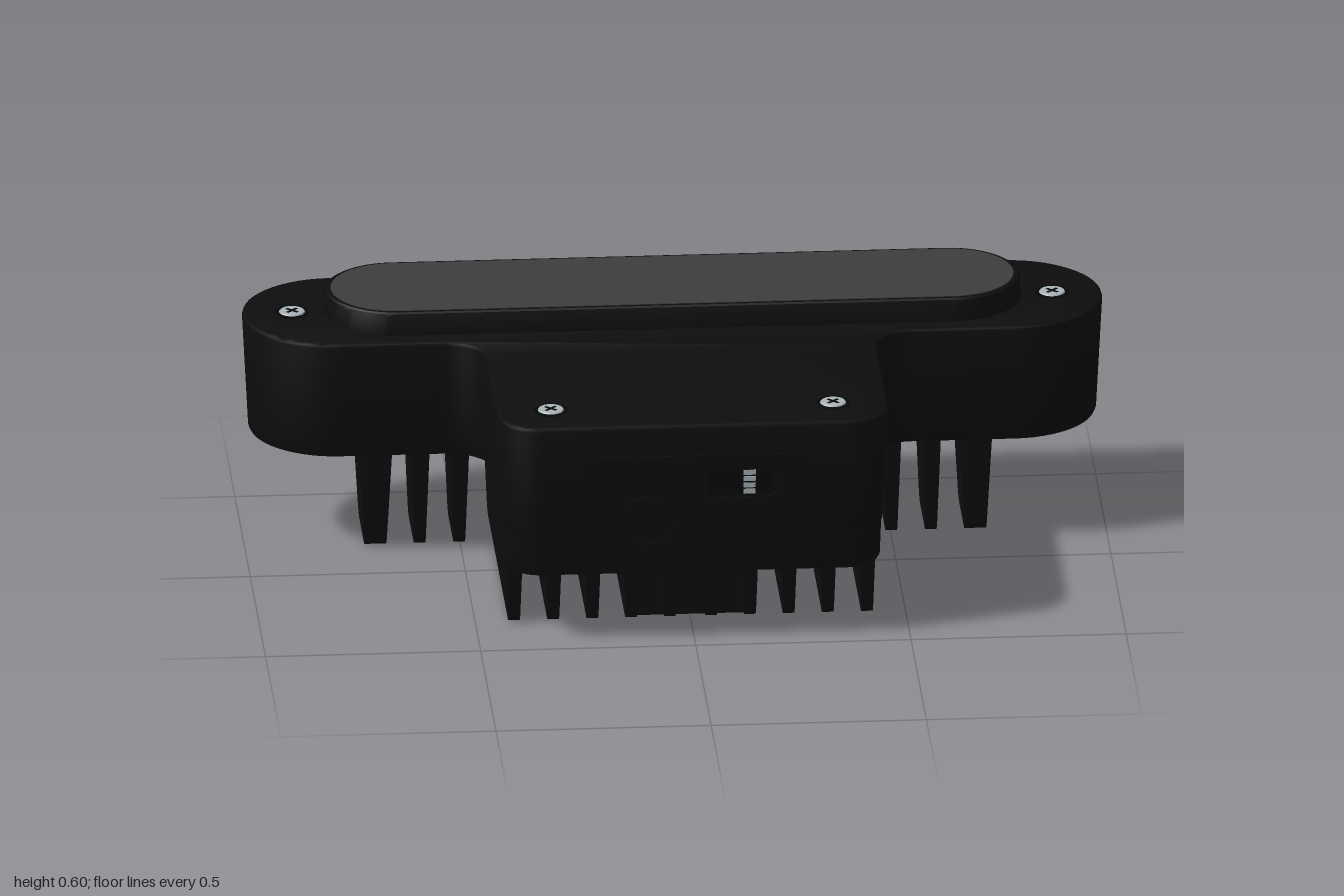
import * as THREE from 'three';
import { toCreasedNormals } from 'three/addons/utils/BufferGeometryUtils.js';

const PI = Math.PI;
const mat = (color) => new THREE.MeshStandardMaterial({ color });
const black = mat(0x0d0d0d), dark = mat(0x080808), glass = mat(0x3d3d3d), steel = mat(0xaab4b8);

function add(parent, name, geometry, material, x = 0, y = 0, z = 0) {
  const mesh = new THREE.Mesh(geometry, material);
  mesh.name = name;
  mesh.position.set(x, y, z);
  parent.add(mesh);
  return mesh;
}

// Stacks plan outlines (x, -z) at [height, inset] levels and caps both ends
function loft(outline, levels) {
  const rings = levels.map(([, inset]) => outline(inset).getPoints(14));
  const n = rings[0].length, pos = [], index = [];
  rings.forEach((ring, k) => ring.forEach((p) => pos.push(p.x, levels[k][0], -p.y)));
  for (let k = 0; k < rings.length - 1; k++) {
    for (let i = 0; i < n; i++) {
      const a = k * n + i, b = k * n + (i + 1) % n;
      index.push(a, b, b + n, a, b + n, a + n);
    }
  }
  const top = (rings.length - 1) * n;
  for (const [a, b, c] of THREE.ShapeUtils.triangulateShape(rings[0], [])) index.push(a, c, b);
  for (const [a, b, c] of THREE.ShapeUtils.triangulateShape(rings[rings.length - 1], [])) {
    index.push(top + a, top + b, top + c);
  }
  const g = new THREE.BufferGeometry();
  g.setAttribute('position', new THREE.Float32BufferAttribute(pos, 3));
  g.setIndex(index);
  return toCreasedNormals(g, 0.5);
}

// T-shaped plan: long rounded bar with a stem toward the front
function tOutline(d) {
  const s = new THREE.Shape();
  s.absarc(0.355, -0.392, 0.1 - d, -PI / 2, 0, false);
  s.absarc(0.545, -0.025, 0.09 + d, PI, PI / 2, true);
  s.absarc(0.785, 0.28, 0.215 - d, -PI / 2, PI / 2, false);
  s.absarc(-0.785, 0.28, 0.215 - d, PI / 2, PI * 1.5, false);
  s.absarc(-0.545, -0.025, 0.09 + d, PI / 2, 0, true);
  s.absarc(-0.355, -0.392, 0.1 - d, PI, PI * 1.5, false);
  return s;
}

function stemOutline(d) {
  const s = new THREE.Shape();
  s.absarc(0.355, -0.392, 0.1 - d, -PI / 2, 0, false);
  s.absarc(0.415, -0.165, 0.04 - d, 0, PI / 2, false);
  s.absarc(-0.415, -0.165, 0.04 - d, PI / 2, PI, false);
  s.absarc(-0.355, -0.392, 0.1 - d, PI, PI * 1.5, false);
  return s;
}

const stadium = (cx, r) => (d) => {
  const s = new THREE.Shape();
  s.absarc(cx, 0.28, r - d, -PI / 2, PI / 2, false);
  s.absarc(-cx, 0.28, r - d, PI / 2, PI * 1.5, false);
  return s;
};

function roundRect(target, x, y, w, h, r) {
  target.absarc(x + w / 2 - r, y - h / 2 + r, r, -PI / 2, 0, false);
  target.absarc(x + w / 2 - r, y + h / 2 - r, r, 0, PI / 2, false);
  target.absarc(x - w / 2 + r, y + h / 2 - r, r, PI / 2, PI, false);
  target.absarc(x - w / 2 + r, y - h / 2 + r, r, PI, PI * 1.5, false);
  target.closePath();
  return target;
}

// Cooling fin: side profile in (z, y), thinner toward its rounded tip
function finGeometry(frontTop, frontBottom, backBottom, backTop, thickTop, thickTip) {
  const s = new THREE.Shape(), r = 0.03;
  s.moveTo(backTop, 0.27);
  s.lineTo(backBottom - 0.005, r);
  s.quadraticCurveTo(backBottom, 0, backBottom + r, 0);
  s.lineTo(frontBottom - r, 0);
  s.quadraticCurveTo(frontBottom, 0, frontBottom + 0.001, r);
  s.lineTo(frontTop, 0.27);
  const g = new THREE.ExtrudeGeometry(s, { depth: 1, bevelEnabled: false, curveSegments: 6 });
  g.translate(0, 0, -0.5).rotateY(-PI / 2);
  const p = g.attributes.position;
  for (let i = 0; i < p.count; i++) {
    const t = Math.min(1, p.getY(i) / 0.27);
    p.setX(i, p.getX(i) * (thickTip + (thickTop - thickTip) * t));
  }
  return toCreasedNormals(g, 0.5);
}

function screw(parent, name, x, y, z, flip) {
  const g = new THREE.Group();
  g.name = name;
  add(g, 'screwRecess', new THREE.CylinderGeometry(0.041, 0.041, 0.004, 28), dark, 0, -0.001, 0);
  add(g, 'screwHead', new THREE.CylinderGeometry(0.028, 0.034, 0.008, 28), steel);
  for (const a of [PI / 4, -PI / 4]) {
    add(g, 'screwSlot', new THREE.BoxGeometry(0.034, 0.002, 0.007), dark, 0, 0.0038, 0).rotation.y = a;
  }
  g.position.set(x, y, z);
  if (flip) g.rotation.x = PI;
  parent.add(g);
  return g;
}

export function createModel() {
  const model = new THREE.Group();
  model.name = 'sensorHousing';

  // Housing with slight draft and softened edges
  add(model, 'housing', loft(tOutline,
    [[0.257, 0.028], [0.261, 0.019], [0.27, 0.015], [0.536, 0.001], [0.542, 0.003], [0.545, 0.009]]), black);
  add(model, 'stemBase', loft(stemOutline,
    [[0.168, 0.034], [0.172, 0.025], [0.182, 0.02], [0.29, 0.016]]), black);

  // Raised window rim and its pane
  add(model, 'windowRim', loft(stadium(0.645, 0.165),
    [[0.54, 0], [0.592, 0.002], [0.597, 0.004], [0.6, 0.009]]), black);
  add(model, 'windowPane', loft(stadium(0.645, 0.148), [[0.59, 0], [0.6015, 0]]), glass);

  // Front panel with a round cover and a connector slot, leaning with the draft
  const panel = new THREE.Group();
  panel.name = 'frontPanel';
  panel.position.set(0, 0.325, 0.481);
  panel.rotation.x = 0.052;
  const plate = roundRect(new THREE.Shape(), 0, 0, 0.55, 0.29, 0.035);
  const round = new THREE.Path();
  round.absarc(-0.115, -0.015, 0.062, 0, PI * 2, true);
  plate.holes.push(round, roundRect(new THREE.Path(), 0.105, 0.075, 0.17, 0.075, 0.025));
  add(panel, 'panelPlate', new THREE.ExtrudeGeometry(plate,
    { depth: 0.004, bevelEnabled: false, curveSegments: 16 }), black);
  add(panel, 'roundCover', new THREE.CylinderGeometry(0.056, 0.056, 0.005, 36), black,
    -0.115, -0.015, 0.001).rotation.x = PI / 2;
  add(panel, 'coverSlot', new THREE.BoxGeometry(0.08, 0.01, 0.002), dark, -0.115, -0.015, 0.004);
  add(panel, 'slotFloor', new THREE.BoxGeometry(0.15, 0.06, 0.003), dark, 0.105, 0.075, 0);
  for (let i = 0; i < 4; i++) {
    add(panel, 'connectorPin', new THREE.BoxGeometry(0.028, 0.012, 0.004), steel, 0.126, 0.051 + i * 0.016, 0.001);
  }
  model.add(panel);

  // Fins: long ones under the stem, short ones under the bar ends
  const longFin = finGeometry(0.345, 0.335, -0.37, -0.412, 0.045, 0.026);
  const cutFin = finGeometry(0.345, 0.335, -0.165, -0.15, 0.045, 0.026);
  const shortFin = finGeometry(-0.148, -0.163, -0.37, -0.412, 0.045, 0.026);
  const endFin = finGeometry(-0.148, -0.163, -0.37, -0.412, 0.078, 0.05);
  for (const side of [-1, 1]) {
    const fins = [[0.048, longFin], [0.138, longFin], [0.228, cutFin], [0.319, longFin],
      [0.41, longFin], [0.502, shortFin], [0.594, shortFin], [0.697, endFin]];
    for (const [x, g] of fins) add(model, 'coolingFin', g, black, side * x);

    // Screws on top and beneath the bar
    screw(model, 'barScrew', side * 0.883, 0.5455, -0.28);
    screw(model, 'stemScrew', side * 0.328, 0.5455, 0.372);
    add(model, 'lowerScrewShank', new THREE.CylinderGeometry(0.03, 0.03, 0.04, 20), steel,
      side * 0.228, 0.245, -0.28);
    screw(model, 'lowerScrew', side * 0.228, 0.224, -0.28, true);
  }

  // Hollow socket between the middle fins
  const socket = roundRect(new THREE.Shape(), 0, 0, 0.3, 0.19, 0.015);
  socket.holes.push(roundRect(new THREE.Path(), 0, 0, 0.2, 0.12, 0.015));
  add(model, 'socketWall', new THREE.ExtrudeGeometry(socket,
    { depth: 0.17, bevelEnabled: false, curveSegments: 4 }), black, 0, 0.175, 0.22).rotation.x = PI / 2;
  add(model, 'socketFloor', new THREE.BoxGeometry(0.22, 0.06, 0.13), dark, 0, 0.07, 0.22);

  return model;
}
